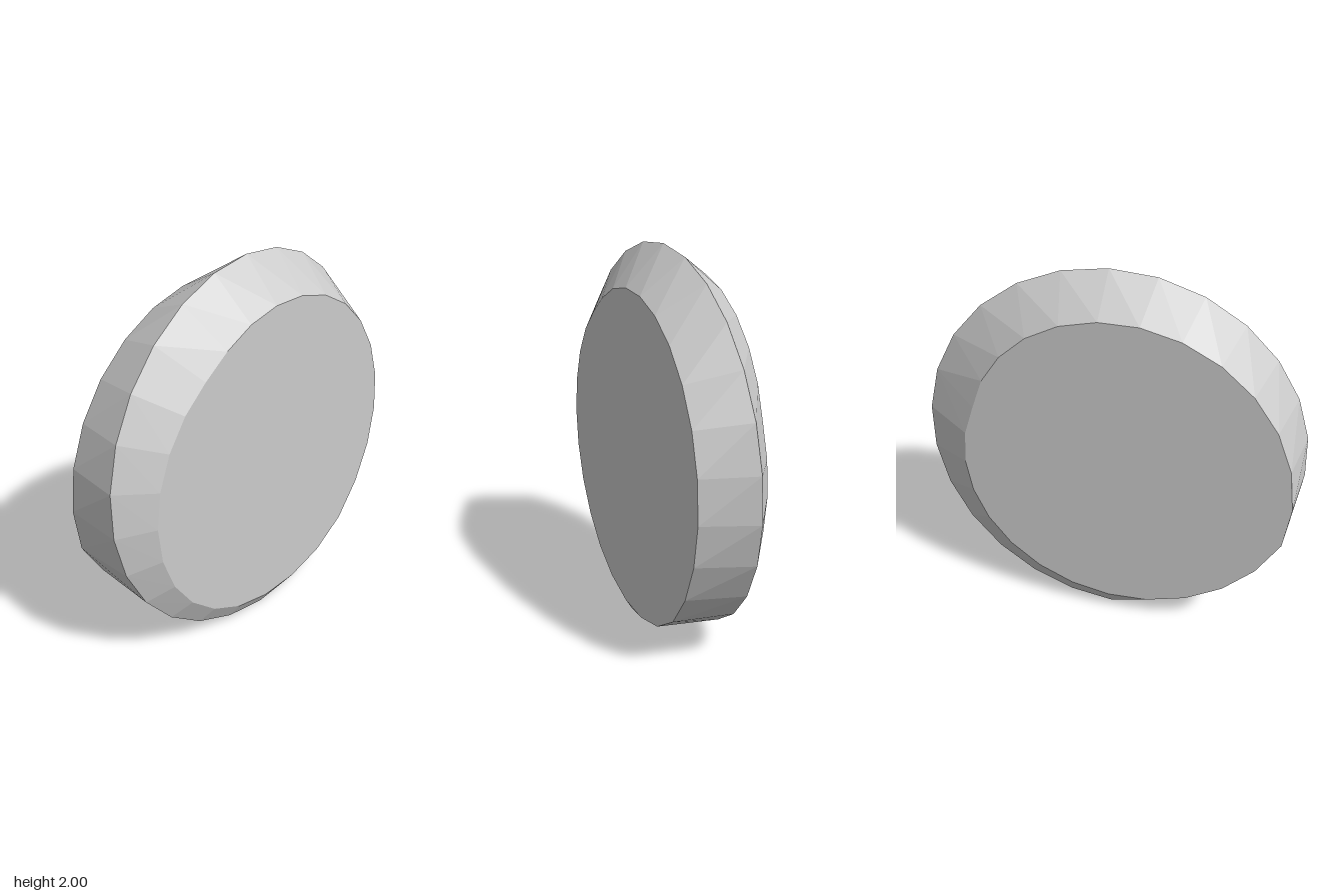
import * as THREE from 'three';
import { ConvexGeometry } from 'three/addons/geometries/ConvexGeometry.js';

const SIDES = 26;
const HALF_DEPTH = 0.215;
const START = -91.7; // angle in degrees where the rim ridge begins and ends

// Point on a circle around the disc's axis
function polar(degrees, radius, z) {
  const a = THREE.MathUtils.degToRad(degrees);
  return new THREE.Vector3(radius * Math.cos(a), 1 + radius * Math.sin(a), z);
}

// Radius of a face: the chamfer is widest at one angle and fades out opposite it
function chamferRadius(degrees, widest, most, least) {
  const d = Math.abs(((degrees - widest + 540) % 360 + 360) % 360 - 180);
  return 1 - THREE.MathUtils.lerp(most, least, d / 180);
}

export function createModel() {
  const group = new THREE.Group();
  group.name = 'chamferedDisc';
  const points = [];

  for (let i = 0; i <= SIDES; i++) {
    const t = i / SIDES;
    const a = START + 360 * t;
    // Rim ridge winds from back to front in one turn
    points.push(polar(a, 1, THREE.MathUtils.lerp(-0.147, 0.177, t)));
    if (i === SIDES) break;
    // Flat front and back faces
    points.push(polar(a, chamferRadius(a, 125, 0.26, 0.012), HALF_DEPTH));
    points.push(polar(a, chamferRadius(a, 18, 0.27, 0.004), -HALF_DEPTH));
  }

  const disc = new THREE.Mesh(
    new ConvexGeometry(points),
    new THREE.MeshStandardMaterial({ color: 0xcccccc, flatShading: true })
  );
  disc.name = 'disc';
  group.add(disc);
  return group;
}
